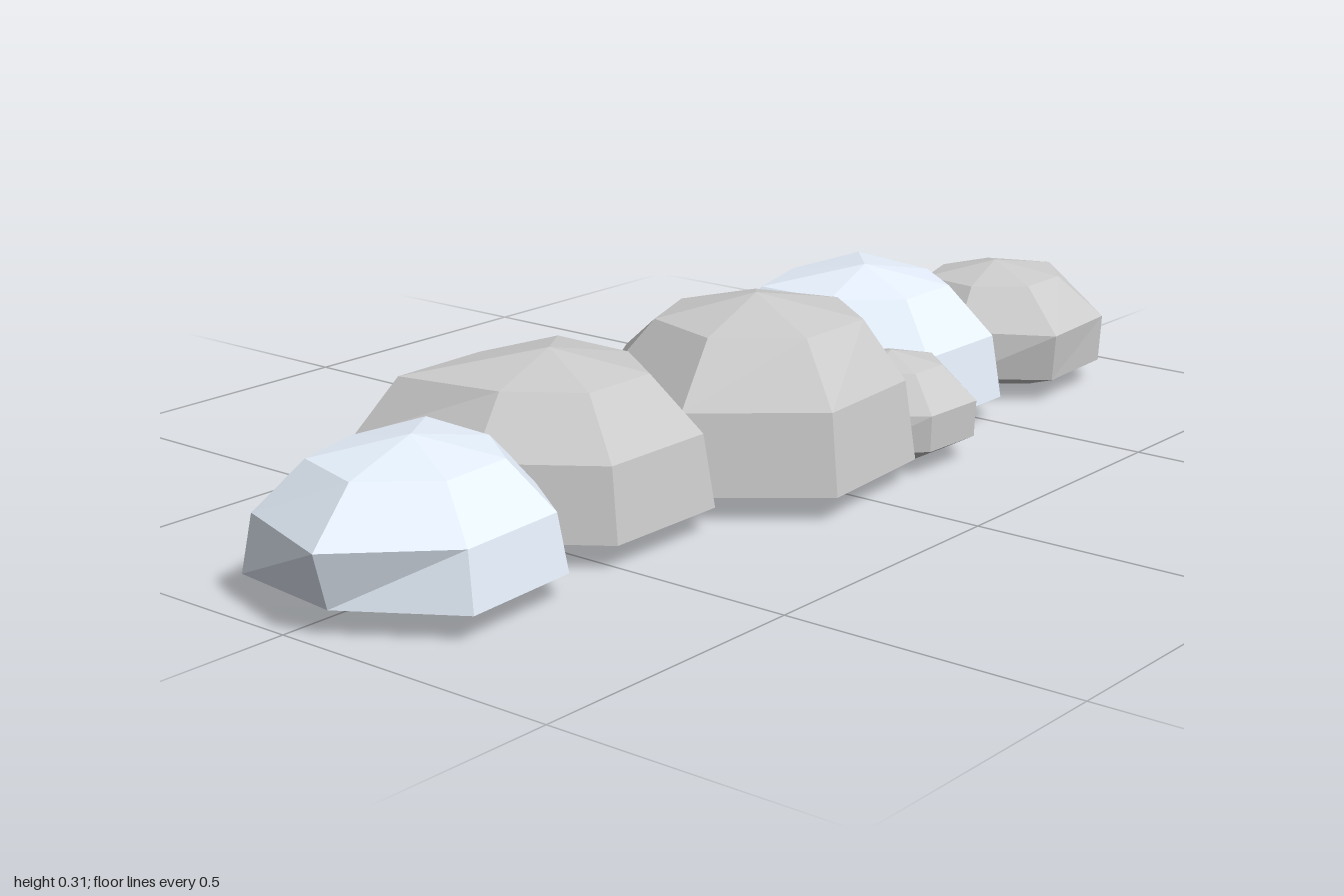
import * as THREE from 'three';

const SIDES = 7;

// Each puff: centre x/z, top height, base radius per spoke (from the back,
// going round through +x), and optional shoulder/waist radii for single spokes.
const PUFFS = [
  { name: 'farRightPuff', x: -0.75, z: 0.01, top: 0.237, tint: true,
    radii: [0.21, 0.23, 0.22, 0.235, 0.25, 0.225, 0.25],
    shoulder: { 1: 0.18, 5: 0.16 }, waist: { 5: 0.255 } },
  { name: 'rightPuff', x: -0.4, z: -0.04, top: 0.285,
    radii: [0.28, 0.32, 0.25, 0.265, 0.265, 0.25, 0.33],
    shoulder: { 0: 0.15, 6: 0.235 }, waist: { 0: 0.245 } },
  { name: 'centrePuff', x: 0, z: 0.055, top: 0.311,
    radii: [0.305, 0.28, 0.29, 0.27, 0.293, 0.295, 0.28],
    shoulder: { 0: 0.16, 3: 0.18, 4: 0.183 } },
  { name: 'leftPuff', x: 0.41, z: -0.02, top: 0.273, tint: true,
    radii: [0.237, 0.32, 0.25, 0.25, 0.25, 0.25, 0.31],
    shoulder: { 0: 0.16, 1: 0.235 }, waist: { 0: 0.225 } },
  { name: 'farLeftPuff', x: 0.76, z: 0.03, top: 0.225,
    radii: [0.215, 0.21, 0.24, 0.2, 0.21, 0.2, 0.22],
    shoulder: { 0: 0.115, 3: 0.12, 4: 0.12 }, waist: { 0: 0.175, 3: 0.205, 4: 0.22 } },
  { name: 'smallFrontPuff', x: 0.225, z: 0.17, top: 0.185,
    radii: [0.14, 0.15, 0.155, 0.145, 0.14, 0.15, 0.15], waist: { 3: 0.148, 4: 0.143 } },
];

// Domed faceted blob with a flattened underside
function puffGeometry({ top, radii, shoulder = {}, waist = {} }) {
  const rings = [
    { y: top, s: 0, fixed: {} },
    { y: top * 0.885, s: 0.61, fixed: shoulder },
    { y: top * 0.565, s: 0.93, fixed: waist },
    { y: 0.042, s: 1, fixed: {} },
    { y: 0.015, s: 0.62, fixed: {} },
    { y: top > 0.25 ? 0 : 0.008, s: 0, fixed: {} },
  ];
  const point = (i, k) => {
    const j = k % SIDES;
    const a = (j / SIDES) * Math.PI * 2;
    const r = rings[i].fixed[j] ?? radii[j] * rings[i].s;
    return [Math.sin(a) * r, rings[i].y, -Math.cos(a) * r];
  };
  const pos = [];
  for (let i = 0; i < rings.length - 1; i++) {
    for (let k = 0; k < SIDES; k++) {
      const a = point(i, k), b = point(i, k + 1);
      const c = point(i + 1, k + 1), d = point(i + 1, k);
      if (i > 0) pos.push(...a, ...b, ...c);
      if (i < rings.length - 2) pos.push(...a, ...c, ...d);
    }
  }
  const geo = new THREE.BufferGeometry();
  geo.setAttribute('position', new THREE.Float32BufferAttribute(pos, 3));
  geo.computeVertexNormals();
  return geo;
}

export function createModel() {
  const cloud = new THREE.Group();
  cloud.name = 'cloud';
  const white = new THREE.MeshStandardMaterial({ color: 0xffffff, flatShading: true });
  const paleBlue = new THREE.MeshStandardMaterial({ color: 0xe6f0fc, flatShading: true });

  for (const puff of PUFFS) {
    const mesh = new THREE.Mesh(puffGeometry(puff), puff.tint ? paleBlue : white);
    mesh.name = puff.name;
    mesh.position.set(puff.x, 0, puff.z);
    cloud.add(mesh);
  }
  return cloud;
}
